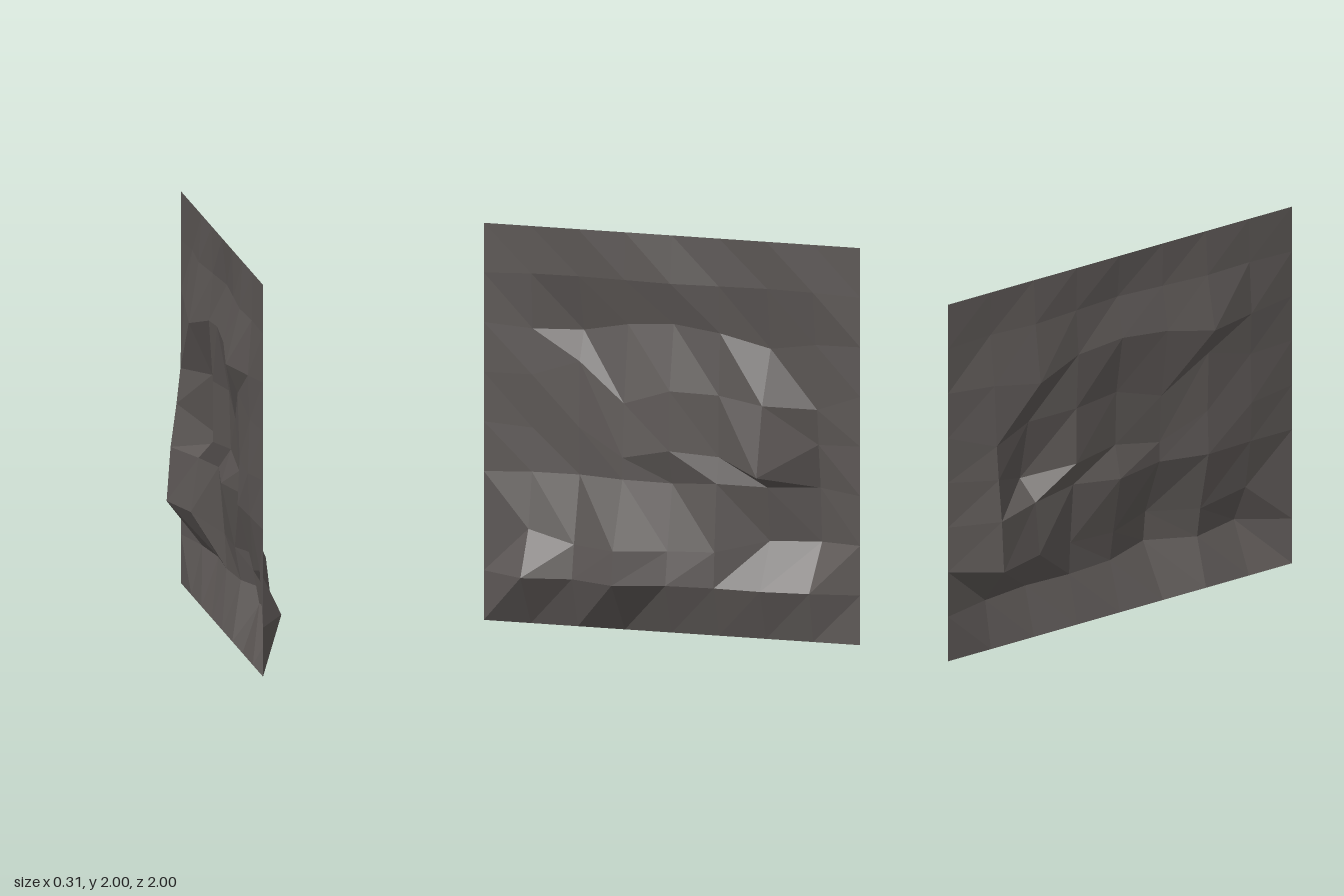
import * as THREE from 'three';

// Interior offsets, rows from bottom to top, columns from +z to -z
const DEPTH = [
  [0.11, 0.05, 0.155, 0.06, 0.04, 0.05, 0.02],
  [0.0, 0.02, 0.135, 0.03, 0.03, -0.09, -0.16],
  [-0.05, -0.06, 0.0, -0.04, 0.0, -0.05, -0.14],
  [-0.06, -0.05, 0.0, 0.01, -0.03, 0.1, -0.11],
  [-0.05, -0.06, -0.02, 0.0, -0.03, 0.02, -0.09],
  [-0.06, -0.12, -0.08, -0.06, -0.05, -0.1, -0.07],
  [-0.04, -0.05, -0.03, -0.01, -0.03, -0.05, -0.03],
];
const HEIGHT = [
  [0.25, 0.25, 0.25, 0.25, 0.25, 0.25, 0.25],
  [0.48, 0.42, 0.42, 0.42, 0.43, 0.485, 0.485],
  [0.76, 0.76, 0.76, 0.75, 0.77, 0.76, 0.76],
  [0.98, 1.0, 0.87, 0.92, 0.9, 0.83, 0.98],
  [1.25, 1.33, 1.14, 1.22, 1.21, 1.18, 1.16],
  [1.48, 1.48, 1.53, 1.55, 1.52, 1.45, 1.49],
  [1.76, 1.76, 1.76, 1.76, 1.76, 1.76, 1.76],
];

export function createModel() {
  const stone = new THREE.MeshStandardMaterial({ color: 0x5c5755, name: 'darkStone' });
  stone.flatShading = true;
  stone.side = THREE.DoubleSide;

  // Eight by eight grid with straight borders and a crumpled interior
  const N = 8;
  const positions = [];
  const index = [];
  for (let r = 0; r <= N; r++) {
    for (let c = 0; c <= N; c++) {
      const border = r === 0 || r === N || c === 0 || c === N;
      const x = border ? -0.035 : DEPTH[r - 1][c - 1];
      const y = border ? r * 0.25 : HEIGHT[r - 1][c - 1];
      positions.push(x, y, 1 - c * 0.25);
    }
  }
  // The diagonals turn over above the two lowest rows
  for (let r = 0; r < N; r++) {
    for (let c = 0; c < N; c++) {
      const a = r * (N + 1) + c;
      const b = a + 1;
      const d = a + N + 1;
      const e = d + 1;
      if (r < 2) index.push(a, b, e, a, e, d);
      else index.push(a, b, d, b, e, d);
    }
  }
  const geometry = new THREE.BufferGeometry();
  geometry.setAttribute('position', new THREE.Float32BufferAttribute(positions, 3));
  geometry.setIndex(index);
  geometry.computeVertexNormals();

  const sheet = new THREE.Mesh(geometry, stone);
  sheet.name = 'rockFace';
  const group = new THREE.Group();
  group.name = 'rockWall';
  group.add(sheet);
  return group;
}
